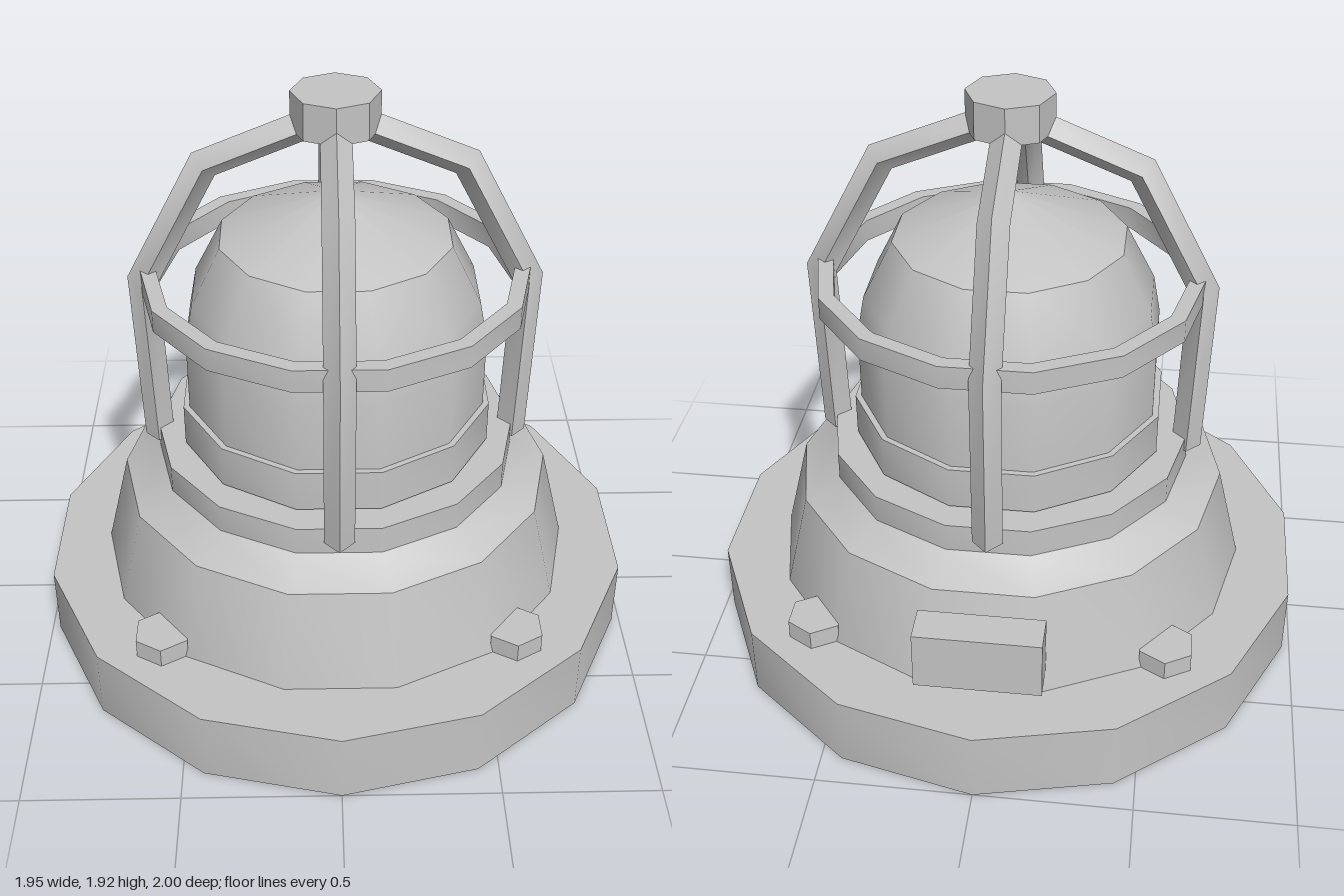
import * as THREE from 'three';
import { toCreasedNormals } from 'three/addons/utils/BufferGeometryUtils.js';

const CREASE = 0.6;

export function createModel() {
  const lamp = new THREE.Group();
  lamp.name = 'cagedLamp';
  const grey = new THREE.MeshStandardMaterial({ color: 0xc4c4c4 });
  grey.name = 'plain grey';

  const add = (name, geometry, parent = lamp) => {
    const mesh = new THREE.Mesh(toCreasedNormals(geometry, CREASE), grey);
    mesh.name = name;
    parent.add(mesh);
    return mesh;
  };

  // Turned part from [radius, height] pairs, bottom to top
  const turned = (name, profile, sides, turn = 0) => {
    const points = profile.map(([r, y]) => new THREE.Vector2(r, y));
    return add(name, new THREE.LatheGeometry(points, sides).rotateY(turn));
  };

  // Base plate, skirt with collar, glass and its clamping band
  turned('basePlate', [[0, 0], [1, 0], [1, 0.24], [0, 0.24]], 14);
  turned('skirt', [[0.8, 0.24], [0.72, 0.565], [0.605, 0.625], [0.6, 0.63], [0.6, 0.725], [0, 0.725]], 14, Math.PI / 2);
  turned('glassDome', [[0.497, 0.72], [0.497, 1.12], [0.472, 1.25], [0.375, 1.44], [0, 1.59]], 12, Math.PI / 12);
  turned('glassBand', [[0.48, 0.735], [0.517, 0.735], [0.517, 0.875], [0.48, 0.875]], 12, Math.PI / 12);

  // Hexagonal bolts on the base plate
  for (const x of [-0.57, 0.57]) {
    for (const z of [-0.575, 0.575]) {
      add('bolt', new THREE.CylinderGeometry(0.095, 0.095, 0.07, 6)).position.set(x, 0.27, z);
    }
  }

  // Cable box at the back
  add('cableBox', new THREE.BoxGeometry(0.4, 0.2, 0.12)).position.set(0, 0.41, -0.8);

  // Cage: hoop, four bent bars and a cap
  turned('cageHoop', [[0.575, 1.25], [0.625, 1.25], [0.625, 1.325], [0.575, 1.325], [0.575, 1.25]], 14, Math.PI / 2);
  const path = [[0.597, 0.68], [0.616, 1.28], [0.405, 1.683], [0.02, 1.84]];
  for (let i = 0; i < 4; i++) {
    add('cageBar', diamondBar(path, 0.048)).rotation.y = i * Math.PI / 2;
  }
  add('cageCap', new THREE.CylinderGeometry(0.138, 0.138, 0.12, 8)).position.y = 1.86;

  return lamp;
}

// Mitred bar with a diamond cross-section along a path in the xy plane
function diamondBar(path, h) {
  const pts = path.map(([x, y]) => new THREE.Vector2(x, y));
  const last = pts.length - 1;
  const dir = i => pts[i + 1].clone().sub(pts[i]).normalize();
  const position = [];
  const index = [];
  pts.forEach((p, i) => {
    const before = dir(Math.max(i - 1, 0));
    const after = dir(Math.min(i, last - 1));
    const t = before.clone().add(after).normalize();
    const m = h / t.dot(after);
    const ox = t.y * m, oy = -t.x * m;
    position.push(p.x + ox, p.y + oy, 0, p.x, p.y, -h, p.x - ox, p.y - oy, 0, p.x, p.y, h);
    if (i === last) return;
    for (let k = 0; k < 4; k++) {
      const a = i * 4 + k, b = i * 4 + (k + 1) % 4;
      index.push(a, b, b + 4, a, b + 4, a + 4);
    }
  });
  const e = last * 4;
  index.push(0, 2, 1, 0, 3, 2, e, e + 1, e + 2, e, e + 2, e + 3);
  const geometry = new THREE.BufferGeometry();
  geometry.setAttribute('position', new THREE.Float32BufferAttribute(position, 3));
  geometry.setIndex(index);
  geometry.computeVertexNormals();
  return geometry;
}
